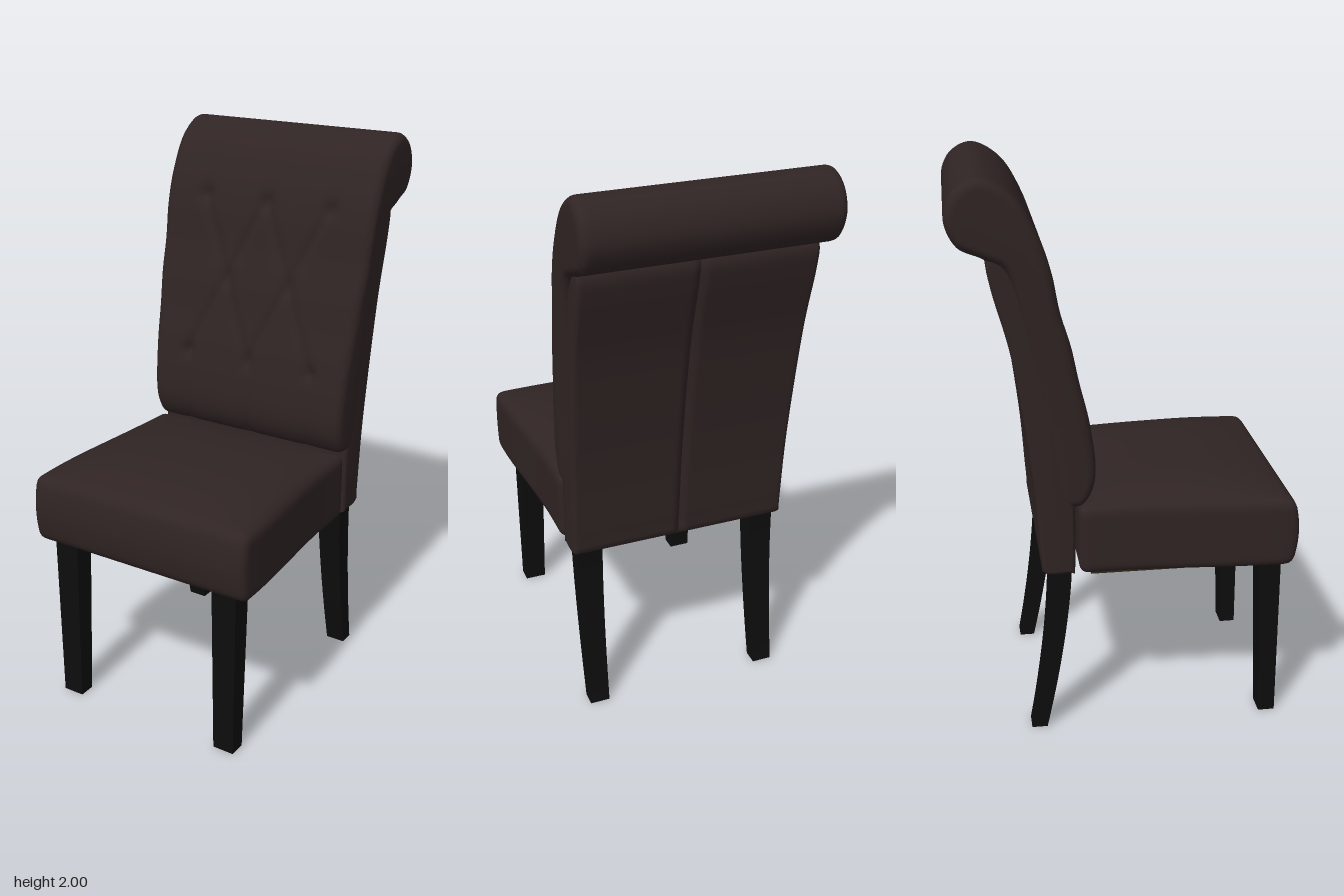
import * as THREE from 'three';
import { mergeVertices, toCreasedNormals } from 'three/addons/utils/BufferGeometryUtils.js';

const V = (z, y) => new THREE.Vector2(z, y);
const smooth = THREE.MathUtils.smoothstep;
const lerp = THREE.MathUtils.lerp;

// Sweeps a closed side profile (z, y) across x, with rounded ends and an optional dent rule.
function upholster(ring, halfWidth, round, columns, dent = () => 0) {
  const n = ring.length;
  const normals = ring.map((p, j) => {
    const t = ring[(j + 1) % n].clone().sub(ring[(j + n - 1) % n]).normalize();
    return V(t.y, -t.x);
  });
  const steps = 5;
  const us = []; // [signed position -1..1, distance in from the end, inset]
  for (let i = 0; i < steps; i++) {
    const a = (i / steps) * Math.PI / 2;
    us.push([-1, round * (1 - Math.cos(a)), round * (1 - Math.sin(a))]);
  }
  const mirrored = us.map(([s, d, inset]) => [1, d, inset]).reverse();
  for (let i = 0; i <= columns; i++) us.push([-1 + 2 * i / columns, null, 0]);
  us.push(...mirrored);

  const pos = [], index = [];
  for (const [s, d, inset] of us) {
    ring.forEach((p, j) => {
      const w = halfWidth(p.y);
      const x = d === null ? s * (w - round) : s * (w - d);
      const off = inset + dent(x, p.y, normals[j].x);
      pos.push(x, p.y - normals[j].y * off, p.x - normals[j].x * off);
    });
  }
  for (let i = 0; i < us.length - 1; i++) {
    for (let j = 0; j < n; j++) {
      const k = (j + 1) % n;
      const a = i * n + j, b = a + n, c = (i + 1) * n + k, e = i * n + k;
      index.push(a, b, c, a, c, e);
    }
  }
  // flat ends
  const inner = ring.map((p, j) => p.clone().addScaledVector(normals[j], -round));
  const last = (us.length - 1) * n;
  for (const [a, b, c] of THREE.ShapeUtils.triangulateShape(inner, [])) {
    index.push(a, b, c, last + a, last + c, last + b);
  }
  const g = new THREE.BufferGeometry();
  g.setAttribute('position', new THREE.Float32BufferAttribute(pos, 3));
  g.setIndex(index);
  return toCreasedNormals(g, 0.9);
}

// Closed smooth outline through a few (z, y) points.
function outline(points, samples, tension = 0.5) {
  const curve = new THREE.CatmullRomCurve3(
    points.map(([z, y]) => new THREE.Vector3(z, y, 0)), true, 'catmullrom', tension);
  return curve.getSpacedPoints(samples).slice(0, samples).map(p => V(p.x, p.y));
}

// Diamond tufting: buttons joined by diagonal folds, with pleats running down.
const buttons = [];
for (const y of [1.17, 1.75]) for (const x of [-0.26, 0, 0.26]) buttons.push([x, y]);
for (const x of [-0.13, 0.13]) buttons.push([x, 1.46]);
const folds = [];
for (const a of buttons.slice(0, 6)) {
  for (const b of buttons.slice(6)) if (Math.abs(a[0] - b[0]) < 0.2) folds.push([a, b, 0.01]);
  if (a[1] < 1.5) folds.push([a, [a[0], 0.9], 0.008]);
  else folds.push([a, [a[0], 1.93], 0.004]);
}
function tuft(x, y, facing) {
  if (facing < 0.2) return 0;
  let depth = 0;
  for (const [a, b, amount] of folds) {
    const dx = b[0] - a[0], dy = b[1] - a[1];
    const t = THREE.MathUtils.clamp(((x - a[0]) * dx + (y - a[1]) * dy) / (dx * dx + dy * dy), 0, 1);
    const d = Math.hypot(x - a[0] - t * dx, y - a[1] - t * dy);
    depth = Math.max(depth, amount * Math.exp(-((d / 0.02) ** 2)));
  }
  for (const [bx, by] of buttons) {
    depth += 0.014 * Math.exp(-(((x - bx) ** 2 + (y - by) ** 2) / 0.0009));
  }
  return depth * smooth(facing, 0.2, 0.7);
}

// Seat block: rounded edges, tapered to the rear, bulging front and domed top.
function seatGeometry() {
  const h = [0.42, 0.125, 0.375], r = 0.03;
  const g = new THREE.BoxGeometry(h[0] * 2, h[1] * 2, h[2] * 2, 48, 16, 48);
  const p = g.attributes.position;
  const v = new THREE.Vector3(), core = new THREE.Vector3();
  for (let i = 0; i < p.count; i++) {
    v.fromBufferAttribute(p, i);
    core.set(...['x', 'y', 'z'].map((k, a) => THREE.MathUtils.clamp(v[k], -h[a] + r, h[a] - r)));
    v.sub(core).setLength(r).add(core);
    const nx = v.x / h[0], ny = v.y / h[1], nz = v.z / h[2];
    const dome = 0.048 * (1 - nx ** 4) * (1 - Math.abs(nz) ** 2.5) * smooth(ny, 0.6, 1);
    const width = lerp(0.965, 1.045, smooth(nz, -0.7, 0.9));
    const bulge = 0.02 * (1 - ny * ny) * smooth(nz, 0.7, 1);
    p.setXYZ(i, v.x * width, v.y + 0.752 + dome, v.z + 0.195 + bulge);
  }
  g.deleteAttribute('normal');
  g.deleteAttribute('uv');
  return toCreasedNormals(mergeVertices(g, 1e-4), 0.9);
}

// Square leg whose centre and thickness follow height t (0 foot, 1 top).
function legGeometry(height, centreZ, halfX, halfZ) {
  const g = new THREE.BoxGeometry(2, 1, 2, 1, 12, 1);
  const p = g.attributes.position;
  for (let i = 0; i < p.count; i++) {
    const t = p.getY(i) + 0.5;
    p.setXYZ(i, p.getX(i) * halfX(t), t * height, centreZ(t) + p.getZ(i) * halfZ(t));
  }
  g.computeVertexNormals();
  return g;
}

export function createModel() {
  const model = new THREE.Group();
  model.name = 'diningChair';
  const material = (name, color) => {
    const m = new THREE.MeshStandardMaterial({ color });
    m.name = name;
    return m;
  };
  const leather = material('brownLeather', 0x302424);
  const wood = material('blackWood', 0x0d0d0d);
  const lining = material('oliveLining', 0x30281a);
  const add = (name, geometry, mat) => {
    const mesh = new THREE.Mesh(geometry, mat);
    mesh.name = name;
    model.add(mesh);
    return mesh;
  };

  add('seat', seatGeometry(), leather);
  const panel = add('seatUnderside', new THREE.BoxGeometry(0.77, 0.008, 0.68), lining);
  panel.position.set(0, 0.625, 0.2);

  // Tufted cushion curling over into the top roll
  const cushion = outline([
    [-0.18, 0.88], [-0.135, 0.93], [-0.12, 1.02], [-0.14, 1.18], [-0.175, 1.33], [-0.2, 1.45],
    [-0.235, 1.57], [-0.26, 1.7], [-0.3, 1.82], [-0.37, 1.94], [-0.47, 2.0], [-0.555, 1.965],
    [-0.59, 1.88], [-0.555, 1.79], [-0.475, 1.75], [-0.4, 1.7], [-0.345, 1.5], [-0.29, 1.2], [-0.25, 0.92],
  ], 200);
  const cushionWidth = y => lerp(0.405, 0.435, smooth(y, 0.9, 1.8));
  add('backCushion', upholster(cushion, cushionWidth, 0.032, 64, tuft), leather);

  // Rear shell with a stitched centre seam
  const shell = outline([
    [-0.195, 0.65], [-0.195, 0.9], [-0.22, 1.2], [-0.27, 1.5], [-0.32, 1.73], [-0.4, 1.78],
    [-0.46, 1.74], [-0.452, 1.65], [-0.39, 1.4], [-0.335, 1.0], [-0.312, 0.7], [-0.3, 0.635], [-0.21, 0.632],
  ], 120);
  const seam = (x, y, facing) => (facing < -0.5 ? 0.014 * Math.exp(-((x / 0.012) ** 2)) : 0);
  add('backShell', upholster(shell, y => lerp(0.4, 0.412, smooth(y, 0.7, 1.6)), 0.015, 80, seam), leather);

  // Straight front legs and swept rear legs
  const front = legGeometry(0.65, t => lerp(0.515, 0.5, t), t => lerp(0.04, 0.048, t), t => lerp(0.03, 0.04, t));
  const rear = legGeometry(0.66, t => -0.245 - 0.085 * (1 - t) ** 1.6, t => lerp(0.036, 0.046, t), t => lerp(0.028, 0.04, t));
  for (const [side, x] of [['left', 0.332], ['right', -0.332]]) {
    add(side + 'FrontLeg', front, wood).position.x = x;
    add(side + 'RearLeg', rear, wood).position.x = x;
  }
  return model;
}
